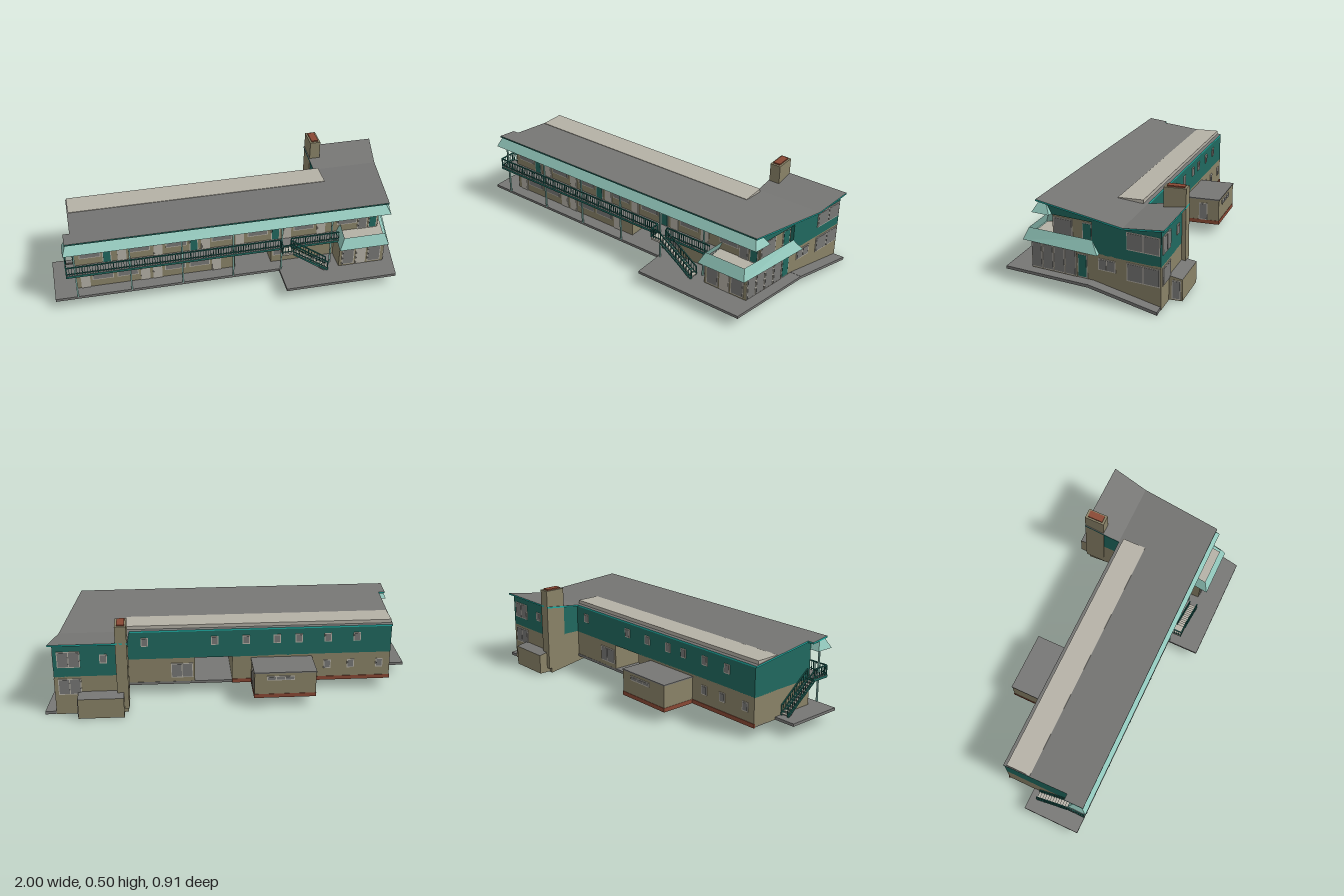
import * as THREE from 'three';
import { mergeGeometries } from 'three/addons/utils/BufferGeometryUtils.js';

const mat = (name, color, side = THREE.FrontSide) => {
  const m = new THREE.MeshStandardMaterial({ color, side });
  m.name = name;
  return m;
};

export function createModel() {
  const root = new THREE.Group();
  root.name = 'motel';
  const grey = mat('concrete grey', 0x767674), glass = mat('window grey', 0x787876);
  const tan = mat('tan wall', 0x8a8368), teal = mat('dark teal', 0x20695f);
  const mint = mat('light teal', 0x93c9bd, THREE.DoubleSide), aqua = mat('turquoise trim', 0x1fada3);
  const pale = mat('pale trim', 0xb5b1a6), brick = mat('brick red', 0x8a4934);

  // Height rules: butterfly roof, sloping pavement, slanted right wall
  const roofY = z => z >= -0.195 ? 0.38 + (z + 0.195) * 0.124 : 0.38 - (z + 0.195) * 0.126;
  const grade = z => z >= -0.02 ? 0.06 : 0.06 + (z + 0.02) * 0.162;
  const xr = z => 0.87 - 0.18 * z;
  const under = z => roofY(z) - 0.009;
  const val = (f, z) => typeof f === 'function' ? f(z) : f;

  const add = (name, geo, m, parent = root) => {
    const mesh = new THREE.Mesh(geo, m);
    mesh.name = name;
    parent.add(mesh);
    return mesh;
  };
  const box = (name, x0, x1, y0, y1, z0, z1, m, parent = root) => {
    const mesh = add(name, new THREE.BoxGeometry(x1 - x0, y1 - y0, z1 - z0), m, parent);
    mesh.position.set((x0 + x1) / 2, (y0 + y1) / 2, (z0 + z1) / 2);
    return mesh;
  };

  // Prism over a plan outline [x, z], anticlockwise from above; heights may vary with z.
  // sides: one material or one per edge; top and bottom: cap material or null
  function prism(name, pts, y0, y1, sides, top = null, bottom = null, topPts = pts) {
    const pos = [], mats = [], g = new THREE.BufferGeometry();
    const lo = i => [pts[i][0], val(y0, pts[i][1]), pts[i][1]];
    const hi = i => [topPts[i][0], val(y1, topPts[i][1]), topPts[i][1]];
    const push = (m, ...vs) => {
      g.addGroup(pos.length / 3, vs.length, mats.length);
      mats.push(m);
      vs.forEach(v => pos.push(...v));
    };
    pts.forEach((p, i) => {
      const j = (i + 1) % pts.length, m = Array.isArray(sides) ? sides[i] : sides;
      push(m, lo(i), lo(j), hi(j), lo(i), hi(j), hi(i));
    });
    const tris = THREE.ShapeUtils.triangulateShape(pts.map(p => new THREE.Vector2(p[0], -p[1])), []);
    for (const [a, b, c] of tris) {
      if (top) push(top, hi(a), hi(b), hi(c));
      if (bottom) push(bottom, lo(c), lo(b), lo(a));
    }
    g.setAttribute('position', new THREE.Float32BufferAttribute(pos, 3));
    g.computeVertexNormals();
    return add(name, g, mats);
  }

  // Pavement and sloping side walk
  prism('pavement', [[-1, 0.28], [0.23, 0.28], [0.23, 0.455], [0.85, 0.455], [0.935, -0.02], [0.84, -0.02],
    [0.84, -0.38], [0.57, -0.38], [0.56, -0.195], [-0.88, -0.195], [-0.88, -0.04], [-1, -0.04]],
  0.06, 0.075, grey, grey, grey);
  prism('slopingWalk', [[0.84, -0.02], [0.935, -0.02], [1, -0.39], [0.9, -0.385]],
    grade, z => grade(z) + 0.016, grey, grey, grey);

  // Ground floor, split by the open passage
  prism('groundFloorLeft', [[-0.88, 0.21], [-0.005, 0.21], [-0.005, -0.195], [-0.88, -0.195]], 0.06, 0.218, tan);
  prism('groundFloorRight', [[0.2, 0.21], [xr(0.21), 0.21], [xr(-0.02), -0.02], [0.874, -0.19], [0.2, -0.195]],
    0.06, 0.218, tan);
  prism('groundFloorWing', [[0.56, -0.02], [xr(-0.02), -0.02], [xr(-0.195), -0.195], [xr(-0.39), -0.39], [0.56, -0.39], [0.56, -0.195]],
    grade, 0.218, tan);
  box('brickBase', -0.883, -0.005, 0.058, 0.08, -0.198, -0.19, brick);

  // Upper floor
  prism('upperFloor', [[-0.88, 0.21], [0.812, 0.21], [0.854, -0.02], [0.854, -0.195], [-0.88, -0.195]],
    0.215, under, [tan, tan, teal, teal, teal], null, tan);
  prism('upperWing', [[0.56, -0.02], [xr(-0.02), -0.02], [xr(-0.195), -0.195], [xr(-0.39), -0.39], [0.56, -0.39], [0.56, -0.195]],
    0.215, under, teal);
  prism('upperBand', [[0.78, 0.24], [xr(0.24), 0.24], [xr(-0.02), -0.02], [0.78, -0.02]], 0.372, under, teal, null, teal);

  // Roof with raised strip
  prism('frontRoof', [[-0.92, 0.288], [0.835, 0.288], [0.923, -0.195], [-0.885, -0.195], [-0.885, 0.18], [-0.92, 0.18]],
    under, roofY, [teal, aqua, aqua, aqua, aqua, aqua], grey, grey);
  prism('wingRoof', [[0.55, -0.195], [0.923, -0.195], [0.962, -0.41], [0.55, -0.41]], under, roofY, aqua, grey, grey);
  prism('roofStrip', [[-0.88, -0.04], [0.57, -0.04], [0.57, -0.175], [-0.88, -0.175]], roofY, 0.402, pale, pale);

  // Canopies
  prism('upperCanopy', [[-0.935, 0.307], [0.845, 0.307], [0.865, 0.205], [-0.935, 0.205]], 0.376, 0.429, mint, null, mint,
    [[-0.915, 0.275], [0.82, 0.275], [0.83, 0.235], [-0.915, 0.235]]);
  prism('lobbyCanopy', [[0.545, 0.37], [0.825, 0.37], [0.911, -0.06], [0.6, -0.06]], 0.218, 0.28, mint, null, mint,
    [[0.575, 0.342], [0.805, 0.342], [0.872, -0.02], [0.62, -0.02]]);
  prism('lobbyDeck', [[0.57, 0.35], [0.81, 0.35], [0.87, -0.02], [0.57, -0.02]], 0.22, 0.23, pale, pale);

  // Chimney, rear store and rear annexe
  box('chimney', 0.555, 0.615, 0.03, 0.498, -0.41, -0.295, tan);
  box('chimneyCap', 0.565, 0.605, 0.498, 0.505, -0.397, -0.308, brick);
  prism('rearStore', [[0.58, -0.385], [0.82, -0.385], [0.82, -0.458], [0.58, -0.458]], 0.004, z => 0.115 + (z + 0.458) * 0.2, tan, grey, tan);
  prism('annexe', [[-0.44, -0.19], [-0.11, -0.19], [-0.11, -0.39], [-0.44, -0.39]], 0.06, 0.2, tan, null, brick);
  box('annexeRoof', -0.443, -0.107, 0.2, 0.206, -0.393, -0.19, grey);
  box('annexeBase', -0.442, -0.108, 0.058, 0.08, -0.392, -0.2, brick);

  // Framed window or door as thin plates; panes split the width
  function opening(name, x, y0, y1, z, w, angle = 0, panes = 1, fill = glass) {
    const g = new THREE.Group(), h = y1 - y0, f = 0.005;
    g.name = name;
    g.position.set(x, (y0 + y1) / 2, z);
    g.rotation.y = angle;
    add('frame', new THREE.BoxGeometry(w, h, 0.006), pale, g);
    const pw = (w - f * (panes + 1)) / panes;
    for (let i = 0; i < panes; i++) {
      add('panel', new THREE.BoxGeometry(pw, h - 2 * f, 0.009), fill, g).position.x = -w / 2 + f + pw / 2 + i * (pw + f);
    }
    root.add(g);
  }
  const slant = Math.atan2(1, 0.18);
  const sideOpening = (name, z0, z1, y0, y1, panes, fill, inset = 0) =>
    opening(name, xr((z0 + z1) / 2) - inset, y0, y1, (z0 + z1) / 2, (z0 - z1) * 1.016, slant, panes, fill);

  // Front rooms
  for (const x of [-0.735, -0.6, -0.34, -0.205, 0.265]) opening('lowerWindow', x, 0.12, 0.2, 0.211, 0.115);
  for (const x of [-0.83, -0.505, -0.438, -0.11]) opening('lowerDoor', x, 0.075, 0.2, 0.211, 0.05, 0, 1, pale);
  for (const x of [-0.795, -0.53, -0.33, -0.08, 0.12, 0.38, 0.63]) opening('upperWindow', x, 0.275, 0.355, 0.211, 0.115);
  [-0.705, -0.625, -0.43, -0.235, -0.17, 0.02, 0.22, 0.285, 0.48, 0.78].forEach((x, i) =>
    opening('upperDoor', x, 0.23, 0.355, 0.211, 0.048, 0, 1, [teal, pale, pale][i % 3]));
  opening('upperDoor', 0.72, 0.23, 0.365, 0.211, 0.055);

  // Right side
  sideOpening('wingWindow', -0.21, -0.385, 0.27, 0.36, 2);
  sideOpening('wingWindow', -0.21, -0.385, 0.113, 0.205, 2);
  sideOpening('smallWindow', -0.055, -0.15, 0.137, 0.197, 2);
  sideOpening('sideDoor', 0.06, 0.006, 0.078, 0.2, 1, teal);
  sideOpening('balconyWindow', 0.205, 0.095, 0.26, 0.356, 1, glass, 0.02);
  sideOpening('balconyDoor', 0.04, -0.014, 0.23, 0.356, 1, teal, 0.02);

  // Back
  for (const x of [0.47, 0.09, -0.08, -0.25, -0.37, -0.53, -0.69]) opening('rearUpperWindow', x, 0.29, 0.34, -0.196, 0.04);
  for (const x of [-0.53, -0.66, -0.82]) opening('rearLowerWindow', x, 0.13, 0.18, -0.196, 0.04);
  opening('rearWideWindow', 0.27, 0.1, 0.185, -0.196, 0.12, 0, 2);
  opening('annexeVent', -0.25, 0.16, 0.185, -0.391, 0.15, 0, 3);
  opening('annexeDoor', -0.109, 0.08, 0.18, -0.3, 0.05, Math.PI / 2);
  opening('wingRearWindow', 0.86, 0.27, 0.36, -0.391, 0.12, 0, 2);
  opening('wingRearWindow', 0.86, 0.115, 0.205, -0.391, 0.12, 0, 2);
  opening('wingRearSmallWindow', 0.68, 0.29, 0.34, -0.391, 0.04);
  opening('storeDoor', 0.82, 0.01, 0.108, -0.428, 0.045, Math.PI / 2);

  // Glazed lobby
  prism('lobby', [[0.56, 0.325], [xr(0.325) + 0.003, 0.325], [xr(0.063) + 0.003, 0.063], [0.56, 0.063]], 0.075, 0.22, tan);
  for (const z of [0.325, 0.26, 0.195, 0.13]) sideOpening('lobbyGlass', z, z - 0.062, 0.08, 0.215, 1, glass, -0.004);
  opening('lobbyWindow', 0.61, 0.085, 0.21, 0.326, 0.07);
  opening('lobbyDoor', 0.683, 0.078, 0.2, 0.326, 0.058, 0, 1, pale);
  opening('lobbyWindow', 0.76, 0.085, 0.21, 0.326, 0.075);

  // Balcony with posts
  prism('balcony', [[-0.93, 0.292], [0.575, 0.292], [0.575, 0.2], [-0.88, 0.2], [-0.88, 0.19], [-0.93, 0.19]], 0.218, 0.232, teal, grey, grey);
  box('stairLanding', 0.23, 0.29, 0.218, 0.23, 0.29, 0.345, pale);
  for (const x of [-0.88, -0.59, -0.31, -0.03, 0.24, 0.52]) box('post', x - 0.004, x + 0.004, 0.075, 0.38, 0.276, 0.284, mint);

  // Square bar between two points, and railing built from bars
  function bar(a, b, t) {
    const A = new THREE.Vector3(...a), B = new THREE.Vector3(...b);
    const q = new THREE.Quaternion().setFromUnitVectors(new THREE.Vector3(0, 1, 0), B.clone().sub(A).normalize());
    return new THREE.BoxGeometry(t, A.distanceTo(B), t).applyQuaternion(q).translate(...A.add(B).multiplyScalar(0.5).toArray());
  }
  function railing(a, b, n, parent = root) {
    const up = (p, h) => [p[0], p[1] + h, p[2]], parts = [];
    parts.push(bar(up(a, 0.052), up(b, 0.052), 0.006), bar(up(a, 0.01), up(b, 0.01), 0.004));
    for (let i = 0; i <= n; i++) {
      const p = a.map((v, k) => v + (b[k] - v) * i / n);
      parts.push(bar(p, up(p, 0.052), i % 6 ? 0.0025 : 0.005));
    }
    add('railing', mergeGeometries(parts), teal, parent);
  }
  const fy = 0.232;
  railing([-0.925, fy, 0.287], [0.23, fy, 0.287], 84);
  railing([0.29, fy, 0.287], [0.56, fy, 0.287], 20);
  railing([-0.927, fy, 0.287], [-0.927, fy, 0.19], 7);
  railing([0.23, fy, 0.343], [0.29, fy, 0.343], 4);
  railing([0.23, fy, 0.29], [0.23, fy, 0.343], 4);

  // Straight stair descending along local +x
  function stair(name, x, z, run, width, angle) {
    const g = new THREE.Group(), n = 12, drop = 0.155;
    g.name = name;
    for (let i = 0; i < n; i++) {
      const sx = run * i / n, sy = -drop * (i + 1) / (n + 1);
      box('step', sx, sx + run / n + 0.002, sy - 0.005, sy, -width / 2, width / 2, pale, g);
    }
    for (const s of [-1, 1]) {
      const w = s * width / 2;
      add('stringer', bar([0, -0.012, w], [run, -drop, w], 0.008), teal, g);
      railing([0, -0.005, w], [run, -drop + 0.002, w], 12, g);
    }
    const soffit = add('soffit', new THREE.BoxGeometry(Math.hypot(run, drop), 0.004, width), grey, g);
    soffit.position.set(run / 2, -drop / 2 - 0.014, 0);
    soffit.rotation.z = -Math.atan2(drop, run);
    g.position.set(x, 0.23, z);
    g.rotation.y = angle;
    root.add(g);
  }
  stair('frontStair', 0.29, 0.32, 0.2, 0.045, 0);
  stair('endStair', -0.906, 0.19, 0.19, 0.042, Math.PI / 2);

  return root;
}
